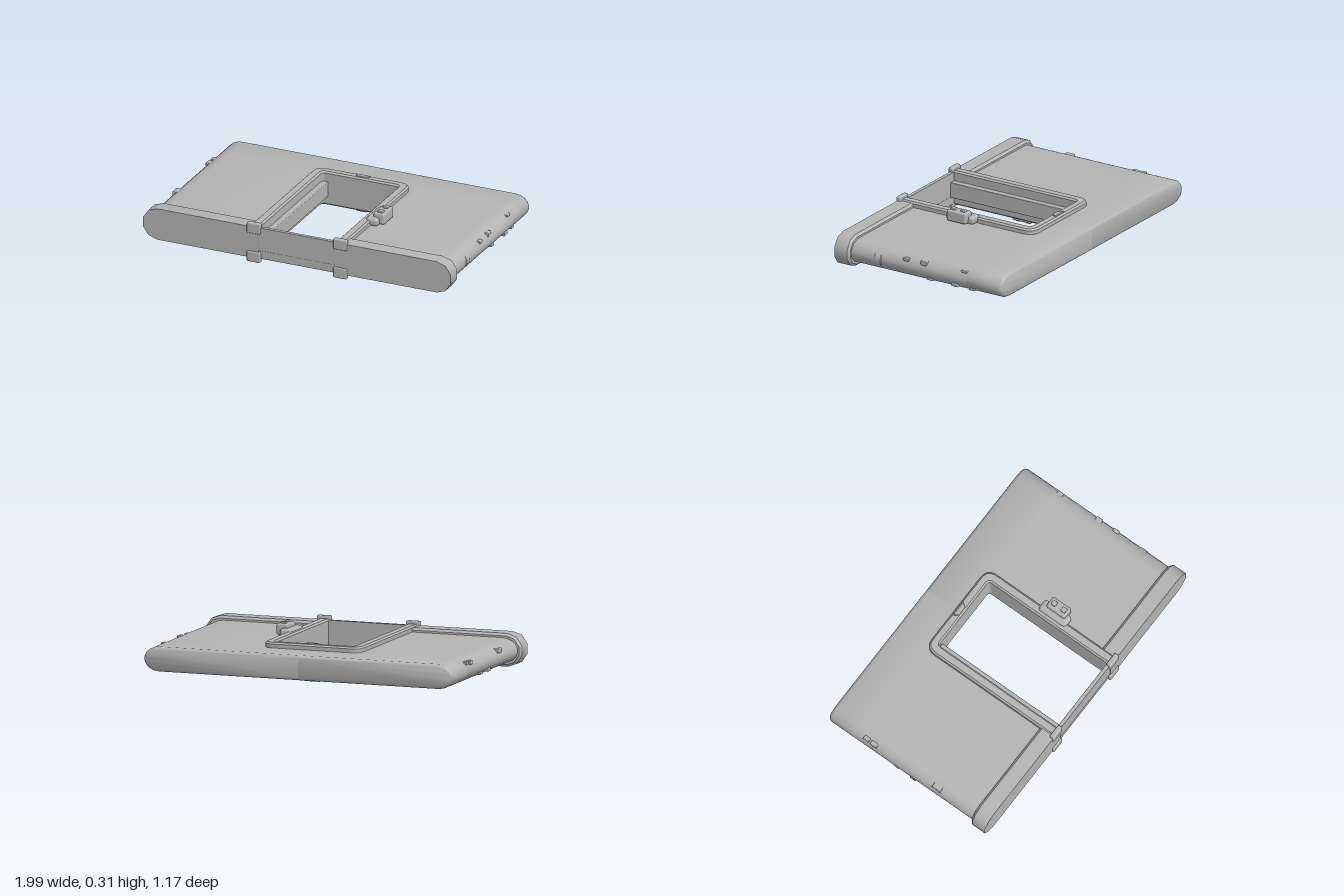
import * as THREE from 'three';
import { toCreasedNormals } from 'three/addons/utils/BufferGeometryUtils.js';
import { RoundedBoxGeometry } from 'three/addons/geometries/RoundedBoxGeometry.js';

const stone = new THREE.MeshStandardMaterial({ color: 0xb4b4b4 });
stone.name = 'plain grey';

function add(parent, name, geometry) {
  const mesh = new THREE.Mesh(geometry, stone);
  mesh.name = name;
  parent.add(mesh);
  return mesh;
}

// Rounded block given by its two corners
function block(parent, name, [x0, y0, z0], [x1, y1, z1], r = 0.006) {
  const g = new RoundedBoxGeometry(x1 - x0, y1 - y0, z1 - z0, 2, r);
  g.translate((x0 + x1) / 2, (y0 + y1) / 2, (z0 + z1) / 2);
  return add(parent, name, g);
}

// Half slab, flat at xi and round at xo, lofted through [z, inset] stations
function halfSlab(xi, xo, h, segs, stations) {
  const pos = [], index = [], n = segs + 3, rx = 0.095;
  for (const [z, inset] of stations) {
    pos.push(xi, -h + inset, z);
    for (let i = 0; i <= segs; i++) {
      const a = Math.PI * (i / segs - 0.5);
      pos.push(xo - rx + (rx - inset) * Math.cos(a), (h - inset) * Math.sin(a), z);
    }
    pos.push(xi, h - inset, z);
  }
  const last = (stations.length - 1) * n;
  for (let s = 0; s < last; s += n) {
    for (let j = 0; j < n; j++) {
      const k = (j + 1) % n;
      index.push(s + j, s + k, s + n + k, s + j, s + n + k, s + n + j);
    }
  }
  for (let j = 1; j < n - 1; j++) index.push(0, j + 1, j, last, last + j, last + j + 1);
  const g = new THREE.BufferGeometry();
  g.setAttribute('position', new THREE.Float32BufferAttribute(pos, 3));
  g.setIndex(index);
  return toCreasedNormals(g, 0.65);
}

// Extrude a plan shape (x, -z) evenly about y = 0
function extrudePlan(shape, height, bevel) {
  const g = new THREE.ExtrudeGeometry(shape, {
    depth: height - 2 * bevel, bevelEnabled: true, bevelThickness: bevel,
    bevelSize: bevel, bevelOffset: -bevel, bevelSegments: 1, curveSegments: 8,
  });
  g.translate(0, 0, -height / 2 + bevel);
  g.rotateX(-Math.PI / 2);
  return toCreasedNormals(g, 0.5);
}

// Handle: back plate, grip and two studs
function handle(parent) {
  block(parent, 'handlePlate', [0.275, 0.07, 0.022], [0.355, 0.122, 0.22], 0.02);
  block(parent, 'handleGrip', [0.313, 0.078, 0.056], [0.386, 0.147, 0.19], 0.012);
  for (const z of [0.09, 0.16]) {
    block(parent, 'handleStud', [0.335, 0.14, z - 0.016], [0.367, 0.157, z + 0.016], 0.005);
  }
}

export function createModel() {
  const model = new THREE.Group();
  const body = new THREE.Group();
  body.name = 'wallWithDoorway';
  body.position.y = 0.158;
  model.add(body);

  // Small raised bricks on each end: [y, z, height, length]
  const bricks = [
    [[0.042, 0.092, 0.018, 0.04], [0.044, -0.03, 0.026, 0.044], [0.05, -0.31, 0.016, 0.04],
      [-0.046, -0.075, 0.016, 0.042], [-0.042, -0.25, 0.024, 0.046], [-0.05, -0.365, 0.014, 0.038]],
    [[-0.046, -0.315, 0.02, 0.04], [-0.042, -0.26, 0.024, 0.045], [0.046, -0.09, 0.018, 0.036],
      [0.042, 0.03, 0.024, 0.044], [-0.044, 0.2, 0.03, 0.06]],
  ];

  // The two halves are half-turn copies about the long axis
  for (const side of [0, 1]) {
    const half = new THREE.Group();
    half.name = side ? 'rightHalf' : 'leftHalf';
    half.rotation.z = side * Math.PI;
    body.add(half);
    add(half, 'wallTop', halfSlab(0, 0.975, 0.074, 9,
      [[-0.582, 0.018], [-0.576, 0.007], [-0.562, 0], [-0.335, 0]]));
    add(half, 'wallPier', halfSlab(0.27, 0.975, 0.074, 9, [[-0.335, 0], [0.5, 0]]));
    add(half, 'wallBase', halfSlab(0.27, 1, 0.099, 5, [[0.472, 0.014], [0.486, 0], [0.576, 0]]));
    handle(half);

    for (const [y, z, h, l] of bricks[side]) {
      const x = 0.88 + 0.095 * Math.sqrt(1 - (y / 0.074) ** 2);
      block(half, 'brick', [x - 0.025, y - h / 2, z - l / 2], [x + 0.012, y + h / 2, z + l / 2], 0.005);
    }
    // Frame feet on both faces
    for (const s of [-1, 1]) {
      const y0 = s > 0 ? 0.058 : -0.125;
      block(half, 'frameFoot', [0.236, y0, 0.553], [0.324, y0 + 0.067, 0.584], 0.008);
    }
  }

  // Tall brick patch wrapping the left end
  const patch = halfSlab(0.85, 0.979, 0.066, 9, [[0.262, 0.004], [0.266, 0], [0.308, 0], [0.312, 0.004]]);
  add(body, 'tallBrick', patch);

  // Door frame, an upside-down U running through the wall
  const u = new THREE.Shape();
  u.moveTo(-0.308, -0.576);
  u.lineTo(-0.308, 0.295);
  u.quadraticCurveTo(-0.308, 0.367, -0.236, 0.367);
  u.lineTo(0.236, 0.367);
  u.quadraticCurveTo(0.308, 0.367, 0.308, 0.295);
  u.lineTo(0.308, -0.576);
  u.lineTo(0.248, -0.576);
  u.lineTo(0.248, 0.29);
  u.quadraticCurveTo(0.248, 0.312, 0.226, 0.312);
  u.lineTo(-0.226, 0.312);
  u.quadraticCurveTo(-0.248, 0.312, -0.248, 0.29);
  u.lineTo(-0.248, -0.576);
  u.closePath();
  add(body, 'doorFrame', extrudePlan(u, 0.214, 0.01));

  // Keystone showing on both faces of the frame
  const key = new THREE.Shape([[-0.05, 0.353], [-0.03, 0.322], [0.03, 0.322], [0.05, 0.353]]
    .map(([x, y]) => new THREE.Vector2(x, y)));
  add(body, 'keystone', extrudePlan(key, 0.226, 0.003));

  // Door stop along one jamb and the threshold
  block(body, 'doorStop', [-0.26, -0.05, -0.312], [-0.21, 0.045, 0.56], 0.004);
  block(body, 'threshold', [-0.25, -0.048, 0.55], [0.25, 0.1, 0.574], 0.003);
  block(body, 'thresholdLip', [-0.25, -0.1, 0.55], [0.25, -0.046, 0.57], 0.003);
  return model;
}
